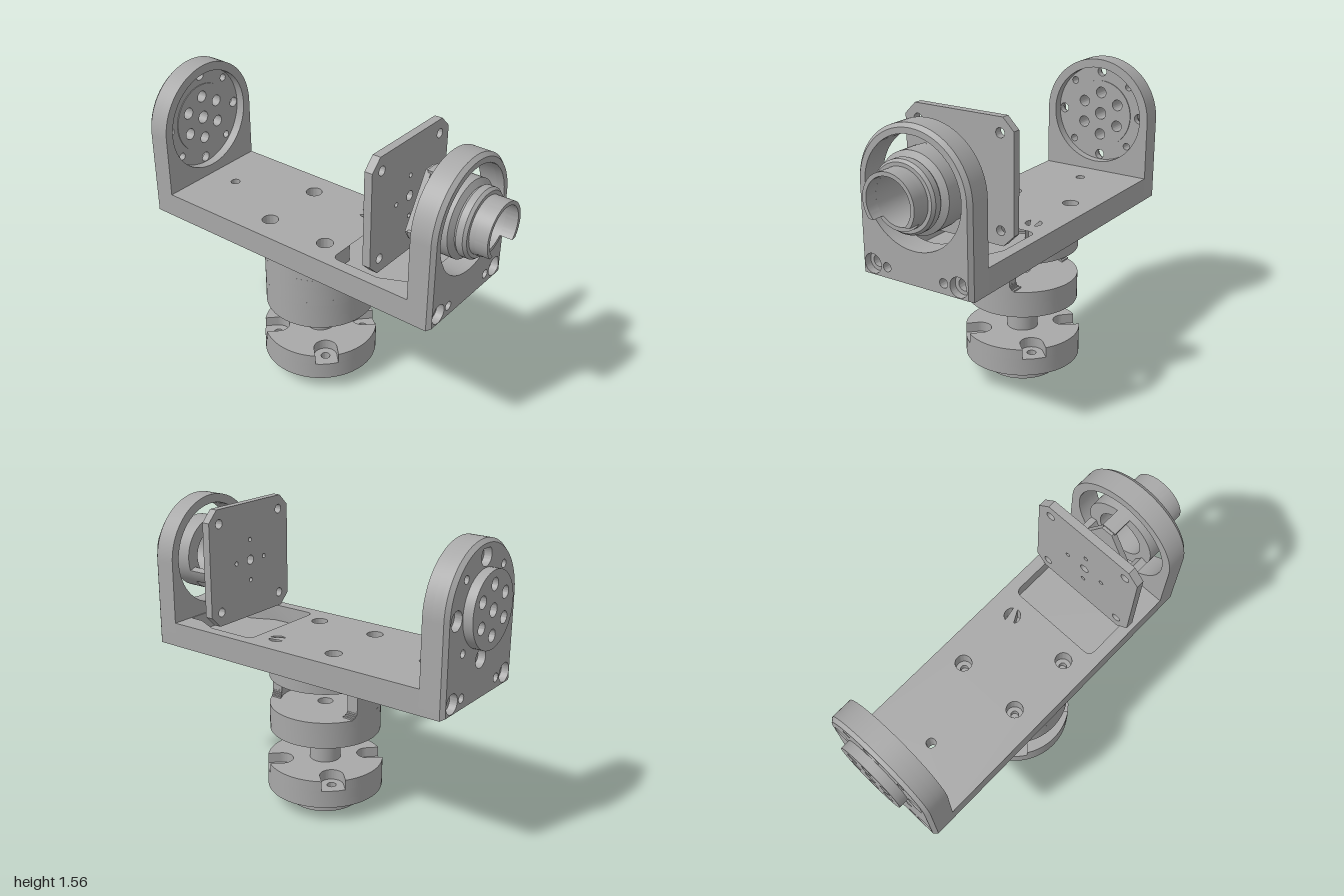
import * as THREE from 'three';
import { toCreasedNormals } from 'three/addons/utils/BufferGeometryUtils.js';

const PI = Math.PI;
const AXIS_Y = 1.24;   // tilt axis height
const PAN_Z = -0.055;  // pan axis depth

const metal = new THREE.MeshStandardMaterial({ color: 0xa8a8a8 });
metal.name = 'grey metal';

function add(parent, name, geo) {
  const mesh = new THREE.Mesh(toCreasedNormals(geo, 0.5), metal);
  mesh.name = name;
  parent.add(mesh);
  return mesh;
}

// holes are [x, y, radius]
function drill(shape, holes) {
  for (const [x, y, r] of holes) {
    shape.holes.push(new THREE.Path().absarc(x, y, r, 0, 2 * PI, true));
  }
  return shape;
}
const disc = (r, holes = []) => drill(new THREE.Shape().absarc(0, 0, r, 0, 2 * PI, false), holes);
const poly = (pts) => new THREE.Shape(pts.map(([x, y]) => new THREE.Vector2(x, y)));

// extrude along z from z0 to z1
function extrude(shape, z0, z1, steps = 1) {
  const geo = new THREE.ExtrudeGeometry(shape, { depth: z1 - z0, steps, bevelEnabled: false, curveSegments: 32 });
  return geo.translate(0, 0, z0);
}
// extrude along y; shape y points to -z
const slab = (shape, y0, y1) => extrude(shape, y0, y1).rotateX(-PI / 2);

// ring with everything beyond x = cut removed
function cutRing(R, r, cut) {
  const a = Math.acos(cut / R), b = Math.acos(cut / r);
  return new THREE.Shape().absarc(0, 0, R, a, 2 * PI - a, false).absarc(0, 0, r, 2 * PI - b, b, true);
}

// one centre hole and six around it
function hubHoles() {
  const holes = [[0, 0, 0.034]];
  for (let i = 0; i < 6; i++) {
    const a = PI / 2 + i * PI / 3;
    holes.push([0.122 * Math.cos(a), 0.122 * Math.sin(a), 0.031]);
  }
  return holes;
}

// arched end plate outline
function arch(holes) {
  const s = new THREE.Shape();
  s.moveTo(-0.32, 0.785);
  s.lineTo(0.32, 0.785);
  s.absarc(0, AXIS_Y, 0.32, 0, PI, false);
  s.closePath();
  return drill(s, holes);
}

// chamfer the outer rim of an end plate
function chamferRim(geo, zMax, c = 0.018) {
  const p = geo.attributes.position;
  for (let i = 0; i < p.count; i++) {
    if (p.getZ(i) < zMax - 1e-4) continue;
    const x = p.getX(i), y = p.getY(i);
    const dy = y - AXIS_Y;
    if (dy > 0 && Math.hypot(x, dy) > 0.317) {
      const k = (0.32 - c) / Math.hypot(x, dy);
      p.setXY(i, x * k, AXIS_Y + dy * k);
    } else if (dy <= 0) {
      if (Math.abs(x) > 0.317) p.setX(i, Math.sign(x) * (0.32 - c));
      if (y < 0.787) p.setY(i, 0.785 + c * 0.6);
    }
  }
  return geo;
}

function cornerHoles(r) {
  return [-1, 1].flatMap((s) => [[s * 0.25, 0.85, r], [s * 0.165, 0.85, 0.023]]);
}

function rimHoles(r) {
  const holes = [];
  for (let i = 0; i < 8; i++) {
    const a = i * PI / 4;
    holes.push([0.243 * Math.cos(a), AXIS_Y + 0.243 * Math.sin(a), i % 2 ? 0.02 : r]);
  }
  return holes;
}

function buildFrame(root) {
  const frame = new THREE.Group();
  frame.name = 'frame';
  root.add(frame);

  // base: floor with a through hole, upper layer with a pocket
  const outline = () => poly([[-0.32, -0.71], [0.32, -0.71], [0.32, 0.82], [-0.32, 0.82]]);
  const bolts = (r) => [-1, 1].flatMap((s) => [[s * 0.18, 0.24, r], [s * 0.18, -0.12, r]]);
  const floor = drill(outline(), [[0, 0.06, 0.16], [0, 0.65, 0.025], ...bolts(0.02)]);
  add(frame, 'baseFloor', slab(floor, 0.785, 0.825));

  const top = drill(outline(), [[0, 0.65, 0.025], ...bolts(0.043)]);
  const pocket = new THREE.Path();
  pocket.moveTo(0.12, -0.23);
  pocket.absarc(0, 0.06, 0.16, -0.7235, PI + 0.7235, false);
  pocket.lineTo(-0.12, -0.23);
  pocket.lineTo(-0.22, -0.23);
  pocket.quadraticCurveTo(-0.26, -0.23, -0.26, -0.27);
  for (const [x, y] of [[-0.26, -0.5], [-0.2, -0.63], [-0.2, -0.705], [0.2, -0.705], [0.2, -0.63], [0.26, -0.5], [0.26, -0.27]]) {
    pocket.lineTo(x, y);
  }
  pocket.quadraticCurveTo(0.26, -0.23, 0.22, -0.23);
  pocket.closePath();
  top.holes.push(pocket);
  add(frame, 'baseTop', slab(top, 0.825, 0.915));

  // front plate with the large bore
  const bore = [0, AXIS_Y, 0.273];
  add(frame, 'frontPlateInner', extrude(arch([bore, ...cornerHoles(0.03)]), 0.71, 0.8));
  add(frame, 'frontPlateOuter', chamferRim(extrude(arch([bore, ...cornerHoles(0.05)]), 0.8, 0.84, 2), 0.84));

  // back plate with an inner recess and a bearing disc
  const back = new THREE.Group();
  back.name = 'backPlate';
  back.rotation.y = PI;
  frame.add(back);
  const seat = [0, AXIS_Y, 0.19];
  add(back, 'backPlateRim', extrude(arch([bore, ...cornerHoles(0.03)]), 0.82, 0.87));
  add(back, 'backPlateWeb', extrude(arch([seat, ...cornerHoles(0.03), ...rimHoles(0.027)]), 0.87, 0.91));
  add(back, 'backPlateOuter', chamferRim(extrude(arch([seat, ...cornerHoles(0.05), ...rimHoles(0.048)]), 0.91, 0.95, 2), 0.95));
  add(back, 'tiltDisc', extrude(disc(0.19, hubHoles()), 0.865, 1).translate(0, AXIS_Y, 0));
}

function buildPan(root) {
  const pan = new THREE.Group();
  pan.name = 'panUnit';
  pan.position.z = PAN_Z;
  root.add(pan);

  // housing with a side window that has rounded inner corners
  add(pan, 'housingBottom', slab(disc(0.293, [[0, 0, 0.04]]), 0.415, 0.555));
  add(pan, 'housingTop', slab(disc(0.293, [[0, 0, 0.16]]), 0.71, 0.785));
  const f = 0.04, n = 5;
  add(pan, 'housingWall', slab(cutRing(0.293, 0.237, 0.1), 0.555 + f, 0.71 - f));
  for (let i = 0; i < n; i++) {
    const t = (i + 0.5) / n;
    const cut = 0.1 + f * (1 - Math.sqrt(1 - t * t));
    const a = f * i / n, b = f * (i + 1) / n;
    add(pan, 'windowFilletUpper', slab(cutRing(0.293, 0.237, cut), 0.71 - f + a, 0.71 - f + b));
    add(pan, 'windowFilletLower', slab(cutRing(0.293, 0.237, cut), 0.555 + f - b, 0.555 + f - a));
  }
  add(pan, 'shaft', new THREE.CylinderGeometry(0.083, 0.083, 0.22, 48).translate(0, 0.32, 0));

  // mounting flange with four open screw notches
  const notched = new THREE.Shape();
  const screws = [], w = 0.062, R = 0.308, half = Math.asin(w / R);
  for (let i = 0; i < 4; i++) {
    const a = PI / 4 + i * PI / 2;
    const cx = 0.235 * Math.cos(a), cy = 0.235 * Math.sin(a);
    notched.absarc(cx, cy, w, a - PI / 2, a + PI / 2, true);
    notched.absarc(0, 0, R, a + half, a + PI / 2 - half, false);
    screws.push([cx, cy, 0.024]);
  }
  notched.closePath();
  add(pan, 'flangeTop', slab(notched, 0.18, 0.235));
  add(pan, 'flangeBottom', slab(disc(R, screws), 0.085, 0.18));
  add(pan, 'panDisc', slab(disc(0.19, hubHoles()), 0, 0.085));
}

function buildSensor(root) {
  const sensor = new THREE.Group();
  sensor.name = 'sensor';
  sensor.position.y = AXIS_Y;
  root.add(sensor);

  // square board with clipped corners
  const e = 0.31, c = 0.25;
  const holes = [[0, 0, 0.025]];
  for (const s of [-1, 1]) {
    holes.push([s * 0.11, 0, 0.012], [0, s * 0.11, 0.012], [s * 0.235, 0.235, 0.024], [s * 0.235, -0.235, 0.024]);
  }
  const board = poly([[-c, -e], [c, -e], [e, -c], [e, c], [c, e], [-c, e], [-e, c], [-e, -c]]);
  add(sensor, 'board', extrude(drill(board, holes), 0.447, 0.49));

  // lens barrel
  const profile = [[0.13, 0.71], [0.198, 0.71], [0.198, 0.825], [0.165, 0.842], [0.175, 0.855], [0.175, 0.89],
    [0.163, 0.905], [0.145, 0.905], [0.145, 0.935], [0.125, 0.935], [0.13, 0.71]];
  const barrel = new THREE.LatheGeometry(profile.map(([r, z]) => new THREE.Vector2(r, z)), 64);
  add(sensor, 'lensBarrel', barrel.rotateX(PI / 2));
  add(sensor, 'lensTube', extrude(cutRing(0.145, 0.125, 0.09), 0.935, 1).rotateZ(-PI / 2));

  // three legged spider behind the barrel
  const spider = [];
  for (let i = 0; i < 3; i++) {
    const a = PI / 2 + i * 2 * PI / 3, h = 0.2;
    const leg = new THREE.Shape().absarc(0, 0, 0.198, a - h, a + h, false).absarc(0, 0, 0.16, a + h, a - h, true);
    add(sensor, 'spiderLeg', extrude(leg, 0.605, 0.71));
    for (const s of [-0.16, 0.16]) spider.push([0.193 * Math.cos(a + s), 0.193 * Math.sin(a + s)]);
  }
  add(sensor, 'spiderPlate', extrude(drill(poly(spider), [[0, 0, 0.027]]), 0.59, 0.62));
  add(sensor, 'spiderBoss', extrude(disc(0.058, [[0, 0, 0.027]]), 0.575, 0.59));
}

export function createModel() {
  const root = new THREE.Group();
  root.name = 'panTiltGimbal';
  buildFrame(root);
  buildPan(root);
  buildSensor(root);
  return root;
}
